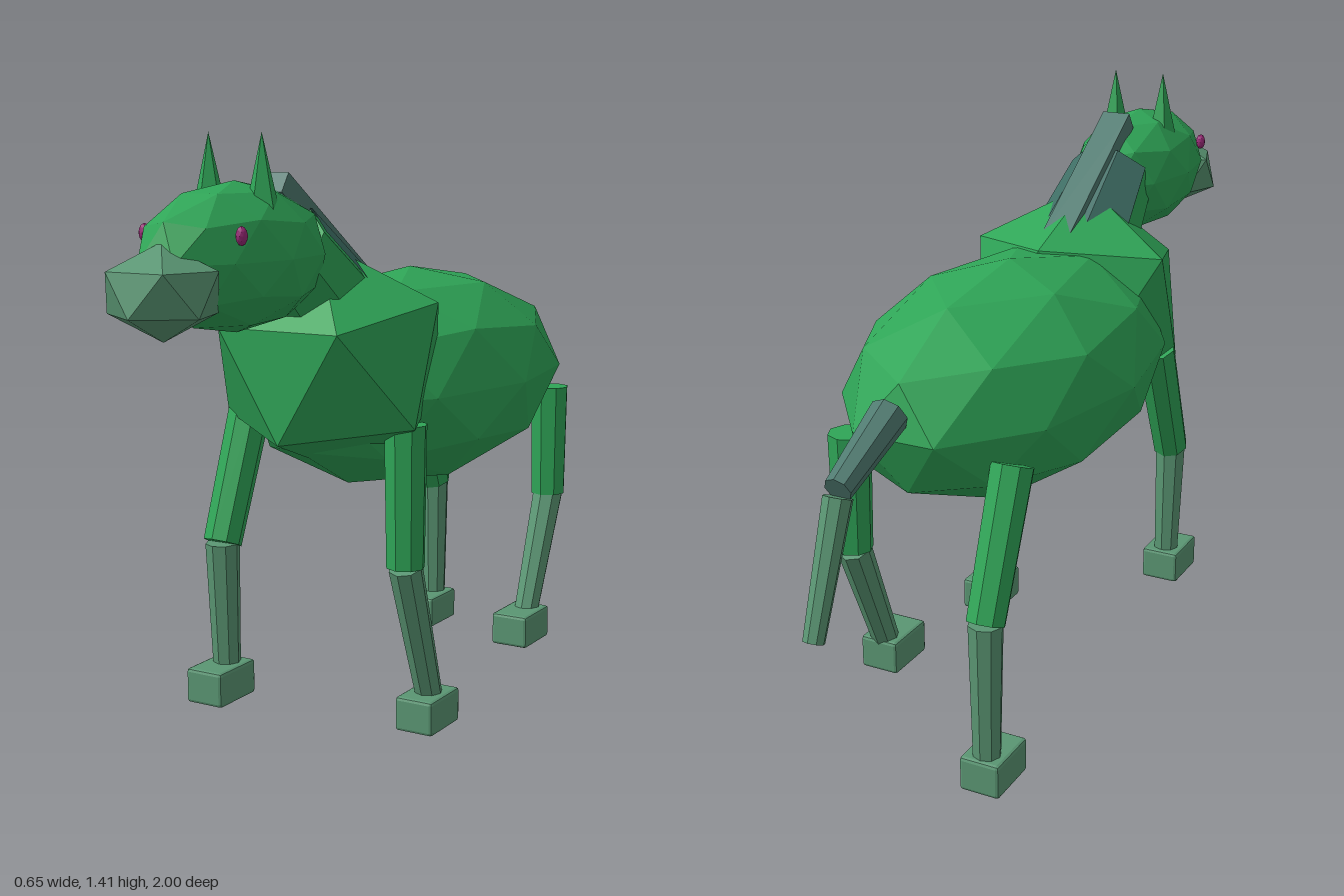
import * as THREE from 'three';
import { RoundedBoxGeometry } from 'three/addons/geometries/RoundedBoxGeometry.js';

const mat = (color, side = THREE.FrontSide) =>
  new THREE.MeshStandardMaterial({ color, flatShading: true, side });

export function createModel() {
  const model = new THREE.Group();
  const coat = mat(0x2fa557);
  const pale = mat(0x5a9673);
  const hair = mat(0x4f7a70);
  const maneMat = mat(0x3f6f66, THREE.DoubleSide);
  const eyeMat = mat(0x9a2a78);

  const add = (name, geometry, material, parent = model) => {
    const mesh = new THREE.Mesh(geometry, material);
    mesh.name = name;
    parent.add(mesh);
    return mesh;
  };

  // Stretched icosahedron; the default tilt puts a vertex at the top.
  const POLE_UP = 1.0172, FACE_FRONT = 1.206;
  const blob = (name, detail, size, pos, material, tilt = POLE_UP) =>
    add(name, new THREE.IcosahedronGeometry(1, detail)
      .rotateX(tilt).scale(...size).translate(...pos), material);

  // Tapered prism from point a (radius ra) to point b (radius rb).
  const limb = (name, a, b, ra, rb, material, parent = model, sides = 8, arc = [0, Math.PI * 2], open = false) => {
    const from = new THREE.Vector3(...a), to = new THREE.Vector3(...b);
    const dir = to.clone().sub(from);
    const g = new THREE.CylinderGeometry(rb, ra, dir.length(), sides, 1, open, ...arc);
    const mesh = add(name, g, material, parent);
    mesh.position.copy(from).add(to).multiplyScalar(0.5);
    mesh.quaternion.setFromUnitVectors(new THREE.Vector3(0, 1, 0), dir.normalize());
    return mesh;
  };

  // Trunk and head
  blob('body', 1, [0.325, 0.27, 0.57], [0, 0.81, -0.11], coat);
  blob('chest', 0, [0.3, 0.283, 0.285], [0, 0.89, 0.264], coat, FACE_FRONT);
  blob('head', 1, [0.147, 0.16, 0.285], [0, 1.15, 0.64], coat);
  blob('snout', 0, [0.135, 0.1, 0.123], [0, 1.095, 0.89], pale);

  // Neck with a mane shell over its three upper faces
  const neckBase = [0, 0.946, 0.217], neckTop = [0, 1.164, 0.474];
  const step = Math.PI / 4;
  limb('neck', neckBase, neckTop, 0.146, 0.108, coat, model, 8, [step / 2, Math.PI * 2]);
  limb('mane', neckBase, neckTop, 0.151, 0.113, maneMat, model, 3,
    [Math.PI - 1.5 * step, 3 * step], true);
  const ridge = add('maneRidge', new THREE.BoxGeometry(0.074, 0.05, 0.453), hair);
  ridge.position.set(0, 1.176, 0.316);
  ridge.rotation.x = -0.597;

  // Ears and eyes
  for (const s of [1, -1]) {
    const side = s > 0 ? 'left' : 'right';
    add(side + 'Ear', new THREE.ConeGeometry(0.042, 0.18, 5)
      .translate(s * 0.068, 1.32, 0.635), coat);
    blob(side + 'Eye', 1, [0.012, 0.02, 0.014], [s * 0.122, 1.205, 0.788], eyeMat);
  }

  // Legs in mid stride: [name, x side, hip, knee, ankle, hoof centre] as [y, z]
  const legs = [
    ['frontLeftLeg', 1, [0.755, 0.28], [0.42, 0.28], [0.08, 0.165], [0.045, 0.172]],
    ['frontRightLeg', -1, [0.77, 0.29], [0.455, 0.415], [0.15, 0.405], [0.12, 0.43]],
    ['backLeftLeg', 1, [0.74, -0.5], [0.45, -0.5], [0.15, -0.375], [0.12, -0.34]],
    ['backRightLeg', -1, [0.74, -0.5], [0.415, -0.63], [0.08, -0.63], [0.045, -0.6]],
  ];
  for (const [name, s, hip, knee, ankle, hoof] of legs) {
    const leg = new THREE.Group();
    leg.name = name;
    const x = s * 0.21;
    limb('upperLeg', [x, ...hip], [x, ...knee], 0.051, 0.046, coat, leg);
    limb('lowerLeg', [x, ...knee], [x, ...ankle], 0.041, 0.033, pale, leg);
    add('hoof', new RoundedBoxGeometry(0.1, 0.084, 0.142, 1, 0.008), pale, leg)
      .position.set(x, ...hoof);
    model.add(leg);
  }

  // Tail in two segments
  const tail = new THREE.Group();
  tail.name = 'tail';
  limb('tailBase', [0, 0.875, -0.66], [0, 0.78, -0.865], 0.045, 0.032, hair, tail);
  limb('tailTip', [0, 0.765, -0.865], [0, 0.485, -0.975], 0.033, 0.024, pale, tail);
  model.add(tail);

  return model;
}
